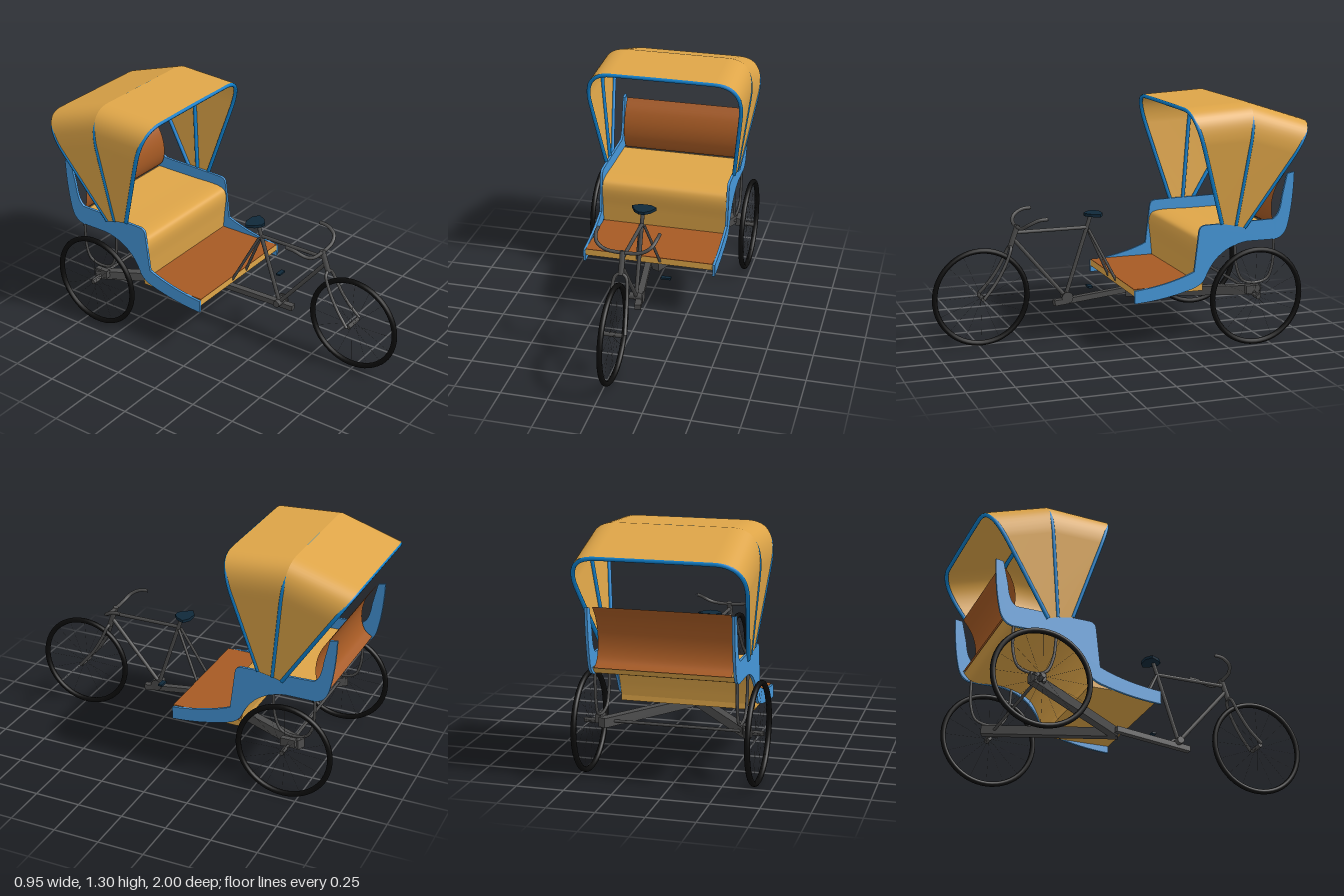
import * as THREE from 'three';
import { toCreasedNormals } from 'three/addons/utils/BufferGeometryUtils.js';

const V = (x, y, z) => new THREE.Vector3(x, y, z);
const mat = (name, color, side = THREE.FrontSide) => {
  const m = new THREE.MeshStandardMaterial({ color, side });
  m.name = name;
  return m;
};

export function createModel() {
  const model = new THREE.Group();
  const body = new THREE.Group();
  body.name = 'cycleRickshaw';
  body.position.x = 0.027;
  model.add(body);

  const cloth = mat('ochre cloth', 0xdea548, THREE.DoubleSide);
  const leather = mat('brown leather', 0xa65a24, THREE.DoubleSide);
  const panelBlue = mat('panel blue', 0x4596d8);
  const hoopBlue = mat('hoop blue', 0x0f80cc);
  const steel = mat('dark steel', 0x4c4c4c);
  const rubber = mat('black rubber', 0x0c0c0c);
  const saddleMat = mat('saddle navy', 0x10293a);

  const add = (name, geo, material, parent = body) => {
    const m = new THREE.Mesh(geo, material);
    m.name = name;
    parent.add(m);
    return m;
  };
  // Straight rod between two points
  const rod = (name, a, b, r, material = steel, sides = 10, parent = body) => {
    const m = add(name, new THREE.CylinderGeometry(r, r, a.distanceTo(b), sides), material, parent);
    m.position.copy(a).add(b).multiplyScalar(0.5);
    m.quaternion.setFromUnitVectors(V(0, 1, 0), b.clone().sub(a).normalize());
    return m;
  };
  // Bent tube through points
  const pipe = (name, pts, r, material = steel, n = 32) =>
    add(name, new THREE.TubeGeometry(new THREE.CatmullRomCurve3(pts, false, 'centripetal'), n, r, 8), material);
  // Square beam between two points
  const beam = (name, a, b, w, h) => {
    const m = add(name, new THREE.BoxGeometry(w, h, a.distanceTo(b)), steel);
    m.position.copy(a).add(b).multiplyScalar(0.5);
    m.lookAt(b);
  };
  // Smooth surface through equal-length rows of points
  const loft = (rows) => {
    const n = rows[0].length, pos = [], idx = [];
    rows.forEach((r) => r.forEach((p) => pos.push(p.x, p.y, p.z)));
    for (let i = 0; i < rows.length - 1; i++)
      for (let j = 0; j < n - 1; j++) {
        const a = i * n + j, b = a + n;
        idx.push(a, b, a + 1, b, b + 1, a + 1);
      }
    const g = new THREE.BufferGeometry();
    g.setAttribute('position', new THREE.Float32BufferAttribute(pos, 3));
    g.setIndex(idx);
    g.computeVertexNormals();
    return g;
  };
  // Sheet spanning the carriage, following a [z, y] profile
  const sheet = (name, profile, half, material, n = 28) => {
    const c = new THREE.CatmullRomCurve3(profile.map(([z, y]) => V(0, y, z)), false, 'centripetal');
    const pts = c.getPoints(n);
    add(name, loft([-half, half].map((x) => pts.map((p) => V(x, p.y, p.z)))), material);
  };

  // Wheels
  const wheel = (name, x, y, z, hubHalf) => {
    const w = new THREE.Group();
    w.name = name;
    w.position.set(x, y, z);
    body.add(w);
    add('tyre', new THREE.TorusGeometry(0.253, 0.0145, 10, 56), rubber, w).rotation.y = Math.PI / 2;
    rod('hub', V(-hubHalf, 0, 0), V(hubHalf, 0, 0), 0.012, steel, 10, w);
    for (let i = 0; i < 16; i++) {
      const t = (i / 16) * Math.PI * 2, s = i % 2 ? 0.015 : -0.015;
      rod('spoke', V(s, 0, 0), V(0, Math.cos(t) * 0.245, Math.sin(t) * 0.245), 0.0006, steel, 3, w);
    }
  };
  wheel('frontWheel', 0, 0.275, 0.735, 0.05);
  wheel('leftWheel', 0.443, 0.272, -0.667, 0.03);
  wheel('rightWheel', -0.443, 0.272, -0.667, 0.03);

  // Chassis: a spine that forks into two arms, with a cross axle
  beam('spine', V(0, 0.215, 0.34), V(0, 0.243, -0.11), 0.035, 0.03);
  rod('rearAxle', V(-0.47, 0.28, -0.675), V(0.47, 0.28, -0.675), 0.008);
  for (const s of [-1, 1]) {
    beam('chassisArm', V(0, 0.243, -0.09), V(s * 0.38, 0.283, -0.72), 0.045, 0.05);
    const block = add('axleBlock', new THREE.BoxGeometry(0.03, 0.045, 0.08), steel);
    block.position.set(s * 0.385, 0.295, -0.67);
    // U-shaped spring hanger
    pipe('springHanger', [
      V(s * 0.365, 0.57, -0.57), V(s * 0.365, 0.42, -0.585), V(s * 0.365, 0.345, -0.62),
      V(s * 0.365, 0.325, -0.69), V(s * 0.365, 0.345, -0.765), V(s * 0.365, 0.42, -0.795),
      V(s * 0.365, 0.57, -0.8),
    ], 0.008);
  }

  // Carriage side panels, drawn as (z, y)
  const p = new THREE.Shape();
  p.moveTo(0, 0.268);
  p.lineTo(0, 0.337);
  p.quadraticCurveTo(-0.2, 0.355, -0.335, 0.415);
  p.lineTo(-0.36, 0.625);
  p.quadraticCurveTo(-0.362, 0.662, -0.4, 0.664);
  p.lineTo(-0.79, 0.672);
  p.quadraticCurveTo(-0.83, 0.69, -0.84, 0.79);
  p.lineTo(-0.868, 0.915);
  p.lineTo(-0.908, 0.922);
  p.quadraticCurveTo(-0.905, 0.75, -0.875, 0.63);
  p.quadraticCurveTo(-0.855, 0.565, -0.8, 0.56);
  p.lineTo(-0.64, 0.56);
  p.quadraticCurveTo(-0.47, 0.54, -0.405, 0.39);
  p.quadraticCurveTo(-0.385, 0.335, -0.31, 0.318);
  p.quadraticCurveTo(-0.16, 0.275, 0, 0.268);
  for (const s of [-1, 1]) {
    let g = new THREE.ExtrudeGeometry(p, { depth: 0.014, bevelEnabled: false, curveSegments: 10 });
    g = toCreasedNormals(g.rotateY(-Math.PI / 2), 0.6);
    add(s > 0 ? 'leftSidePanel' : 'rightSidePanel', g, panelBlue).position.x = s * 0.37 + 0.007;
  }

  // Footboard with a brown top, seat and backrest
  const board = add('footboard', new THREE.BoxGeometry(0.724, 0.035, 0.39), cloth);
  board.position.set(0, 0.323, -0.195);
  const mat2 = add('footMat', new THREE.BoxGeometry(0.724, 0.004, 0.38), leather);
  mat2.position.set(0, 0.342, -0.19);
  sheet('seatCushion', [[-0.375, 0.335], [-0.365, 0.44], [-0.355, 0.55], [-0.37, 0.588],
    [-0.41, 0.602], [-0.6, 0.603], [-0.84, 0.605]], 0.362, cloth);
  sheet('seatUnderside', [[-0.39, 0.335], [-0.41, 0.41], [-0.47, 0.51], [-0.62, 0.563],
    [-0.8, 0.564], [-0.845, 0.605]], 0.362, cloth);
  sheet('backrest', [[-0.868, 0.918], [-0.82, 0.85], [-0.793, 0.77], [-0.793, 0.69],
    [-0.815, 0.635], [-0.855, 0.605]], 0.35, leather);

  // Folding hood: three hoops fanning from the pivots, with cloth between them
  const arch = new THREE.Path();
  arch.moveTo(-0.383, 0);
  arch.lineTo(-0.437, 0.7);
  arch.bezierCurveTo(-0.447, 0.9, -0.4, 1, -0.29, 1);
  arch.lineTo(0.29, 1);
  arch.bezierCurveTo(0.4, 1, 0.447, 0.9, 0.437, 0.7);
  arch.lineTo(0.383, 0);
  const outline = arch.getPoints(14);
  const hoop = (base, top, k = 1) => outline.map((q) => {
    const c = base.clone().lerp(top, q.y * (1 - (1 - k) * 1.2));
    return V(q.x * k, c.y, c.z);
  });
  const fans = [
    [V(0, 0.665, -0.49), V(0, 1.285, -0.3)],
    [V(0, 0.65, -0.57), V(0, 1.303, -0.65)],
    [V(0, 0.635, -0.62), V(0, 1.193, -0.99)],
  ];
  for (let i = 0; i < 2; i++)
    add(i ? 'rearHoodCloth' : 'frontHoodCloth', loft([hoop(...fans[i]), hoop(...fans[i + 1])]), cloth);
  fans.forEach((f, i) => pipe(['frontHoop', 'middleHoop', 'rearHoop'][i], hoop(...f, 0.985), 0.011, hoopBlue, 90));

  // Bicycle frame
  const bracket = V(0, 0.24, 0.265), head = V(0, 0.615, 0.54), seatTop = V(0, 0.615, 0.14);
  rod('topTube', head, seatTop, 0.01);
  rod('downTube', V(0, 0.58, 0.552), bracket, 0.011);
  rod('seatTube', bracket, V(0, 0.68, 0.12), 0.011);
  rod('headTube', V(0, 0.535, 0.572), V(0, 0.655, 0.53), 0.015);
  rod('bracketShell', V(-0.035, 0.24, 0.265), V(0.035, 0.24, 0.265), 0.02);
  rod('chainring', V(0.035, 0.24, 0.265), V(0.042, 0.24, 0.265), 0.032, steel, 20);
  for (const s of [-1, 1]) {
    rod('seatStay', V(s * 0.012, 0.605, 0.135), V(s * 0.065, 0.32, -0.005), 0.008);
    pipe('forkBlade', [V(0, 0.545, 0.57), V(s * 0.028, 0.53, 0.575), V(s * 0.043, 0.45, 0.61),
      V(s * 0.052, 0.36, 0.665), V(s * 0.065, 0.278, 0.735)], 0.009);
  }
  const grip = [[0.165, 0.71, 0.41], [0.163, 0.705, 0.46], [0.145, 0.68, 0.51], [0.1, 0.655, 0.53]];
  pipe('handlebar', [
    ...grip.map(([x, y, z]) => V(-x, y, z)), V(0, 0.645, 0.533),
    ...grip.map(([x, y, z]) => V(x, y, z)).reverse(),
  ], 0.01, steel, 48);

  // Saddle and pedal
  const s = new THREE.Shape([[-0.03, 0.06], [0.03, 0.06], [0.068, 0.085], [0.045, 0.13],
    [0.015, 0.155], [-0.015, 0.155], [-0.045, 0.13], [-0.068, 0.085]].map(([x, z]) => new THREE.Vector2(x, z)));
  const saddle = add('saddle', new THREE.ExtrudeGeometry(s, { depth: 0.016, bevelEnabled: false }), saddleMat);
  saddle.rotation.x = Math.PI / 2;
  saddle.position.y = 0.694;
  const pedal = add('pedal', new THREE.BoxGeometry(0.055, 0.01, 0.025), saddleMat);
  pedal.position.set(0.143, 0.323, 0.175);

  return model;
}
